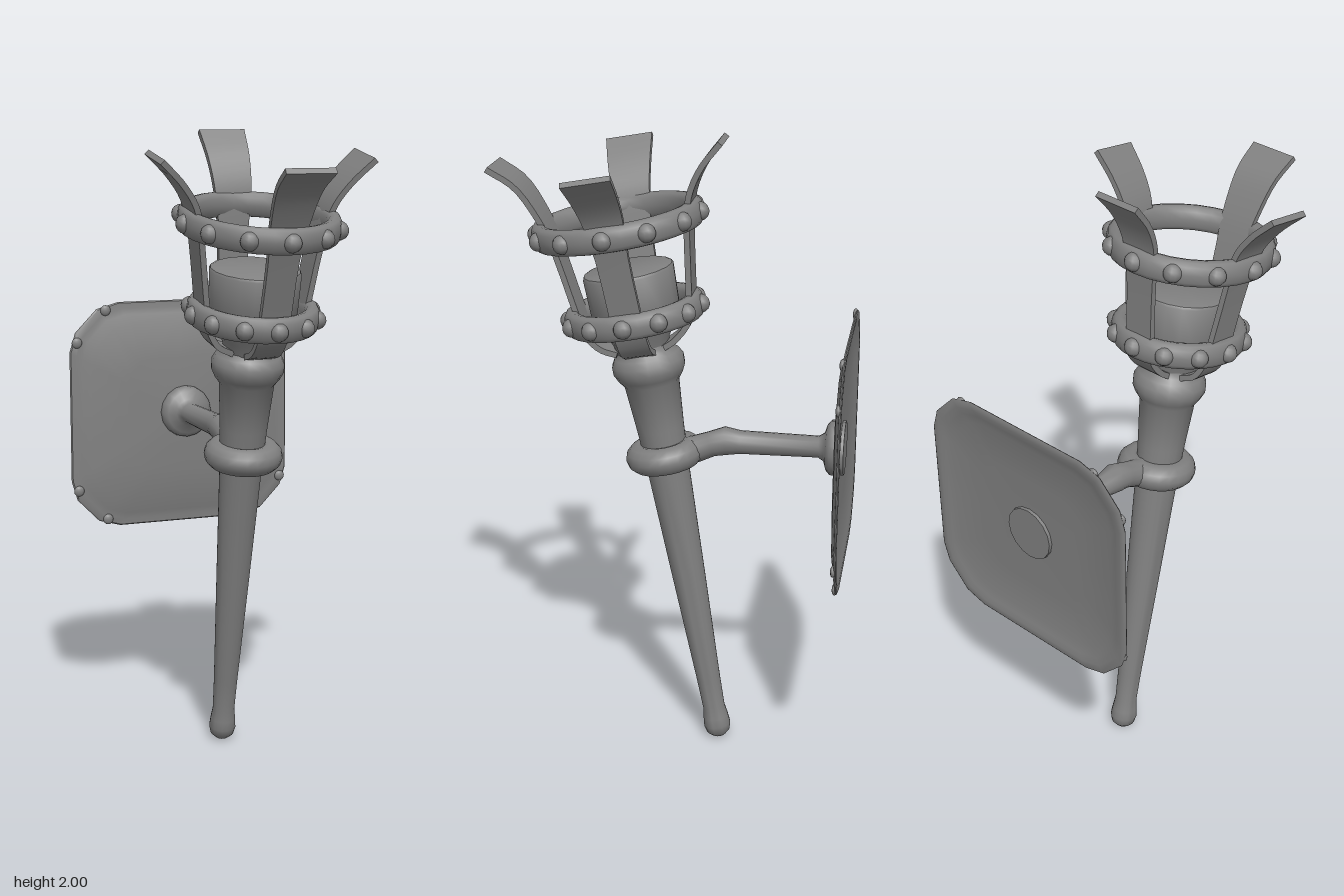
import * as THREE from 'three';
import { toCreasedNormals } from 'three/addons/utils/BufferGeometryUtils.js';

const material = new THREE.MeshStandardMaterial({ color: 0x808080 });
const V = (x, y, z) => new THREE.Vector3(x, y, z);

function add(parent, name, geometry) {
  const mesh = new THREE.Mesh(geometry, material);
  mesh.name = name;
  parent.add(mesh);
  return mesh;
}

function addGroup(parent, name) {
  const group = new THREE.Group();
  group.name = name;
  parent.add(group);
  return group;
}

// Closed solid from equal-length cross-section loops, each counter-clockwise about the direction of travel
function loft(loops, crease) {
  const n = loops[0].length, positions = [], index = [];
  const push = (p) => positions.push(p.x, p.y, p.z) / 3 - 1;
  loops.forEach((loop) => loop.forEach(push));
  for (let k = 0; k < loops.length - 1; k++) {
    for (let i = 0; i < n; i++) {
      const j = (i + 1) % n;
      const a = k * n + i, b = k * n + j, c = a + n, d = b + n;
      index.push(a, b, d, a, d, c);
    }
  }
  [0, loops.length - 1].forEach((k) => {
    const mid = V(0, 0, 0);
    loops[k].forEach((p) => mid.addScaledVector(p, 1 / n));
    const m = push(mid);
    for (let i = 0; i < n; i++) {
      const a = k * n + i, b = k * n + ((i + 1) % n);
      if (k === 0) index.push(m, b, a);
      else index.push(m, a, b);
    }
  });
  const geometry = new THREE.BufferGeometry();
  geometry.setAttribute('position', new THREE.Float32BufferAttribute(positions, 3));
  geometry.setIndex(index);
  return toCreasedNormals(geometry, crease);
}

// Turned part from [radius, height] pairs
function turned(profile, segments, crease = 0.7) {
  const points = profile.map(([r, y]) => new THREE.Vector2(r, y));
  return toCreasedNormals(new THREE.LatheGeometry(points, segments), crease);
}

// Slightly oval basket ring with rounded edges and twelve rivets
function basketRing(parent, name, height, radius) {
  const oval = 1.08, profile = [];
  for (let i = 0; i <= 12; i++) {
    const a = -Math.PI / 2 + (i / 12) * Math.PI * 2;
    const squash = (v) => Math.sign(v) * Math.pow(Math.abs(v), 0.75);
    profile.push([radius + 0.025 * squash(Math.cos(a)), height + 0.04 * squash(Math.sin(a))]);
  }
  add(parent, name, turned(profile, 28, 0.9).scale(1, 1, oval));
  for (let i = 0; i < 12; i++) {
    const a = (i / 12) * Math.PI * 2, r = radius + 0.016;
    const rivet = add(parent, name + 'Rivet', new THREE.SphereGeometry(0.029, 12, 8));
    rivet.position.set(Math.sin(a) * r, height, Math.cos(a) * r * oval);
  }
}

// Flat iron strip rising from the collar and flaring outward at its tip
function basketStrip(bulge, tipRadius, tipHeight) {
  const curve = new THREE.CatmullRomCurve3([
    [0.07, 1.36], [0.12, 1.385], [0.153 + bulge, 1.44], [0.165 + bulge, 1.51], [0.2 + bulge, 1.74],
    [0.222 + bulge, 1.82], [0.27 + bulge, tipHeight - 0.067], [tipRadius, tipHeight],
  ].map(([r, y]) => V(0, y, r)));
  const loops = [];
  for (let i = 0; i <= 24; i++) {
    const p = curve.getPoint(i / 24), t = curve.getTangent(i / 24);
    const normal = V(0, -t.z, t.y).multiplyScalar(0.009);
    const flare = Math.max(0, (p.y - 1.68) / 0.3);
    const w = 0.048 + 0.029 * flare;
    loops.push([[1, 1], [1, -1], [-1, -1], [-1, 1]].map(([sx, sn]) =>
      p.clone().addScaledVector(normal, sn).add(V(sx * w, 0, 0))));
  }
  return loft(loops, 0.6);
}

// Round arm from the holder to the wall flange, from [y, z, radius] stations
function bracketArm() {
  const stations = [
    [1.01, -0.04, 0.045], [1.022, -0.08, 0.043], [1.042, -0.13, 0.04], [1.055, -0.175, 0.045],
    [1.053, -0.22, 0.037], [1.053, -0.465, 0.034], [1.053, -0.482, 0.045], [1.053, -0.49, 0.072],
    [1.053, -0.503, 0.086], [1.053, -0.52, 0.088], [1.053, -0.547, 0.085],
  ];
  const points = stations.map(([y, z]) => V(0.007, y, z));
  return loft(stations.map(([, , r], k) => {
    const t = points[Math.min(k + 1, points.length - 1)].clone().sub(points[Math.max(k - 1, 0)]).normalize();
    const side = V(1, 0, 0), up = t.cross(side);
    return Array.from({ length: 16 }, (_, i) => {
      const a = (i / 16) * Math.PI * 2;
      return points[k].clone().addScaledVector(side, r * Math.cos(a)).addScaledVector(up, r * Math.sin(a));
    });
  }), 0.9);
}

// Shallow domed plate with cut corners and a dished back
function wallPlate() {
  const corner = [[0.39, 0], [0.39, 0.22], [0.37, 0.285], [0.295, 0.362], [0.22, 0.383]];
  const flip = (sx, sy, list) => list.map(([x, y]) => [x * sx, y * sy]);
  const back = [...corner].reverse();
  const outline = [
    ...corner, [0, 0.383], ...flip(-1, 1, back),
    ...flip(-1, -1, corner.slice(1)), [0, -0.383], ...flip(1, -1, back.slice(0, 4)),
  ];
  const layers = [
    [0.1, -0.537], [0.5, -0.538], [0.82, -0.543], [0.89, -0.551], [0.94, -0.556], [0.985, -0.557],
    [1, -0.554], [0.99, -0.549], [0.94, -0.548], [0.89, -0.545], [0.82, -0.536], [0.5, -0.525], [0.1, -0.52],
  ];
  return loft(layers.map(([s, z]) => outline.map(([x, y]) => V(x * s, y * s, z))), 0.8);
}

export function createModel() {
  const model = new THREE.Group();
  model.name = 'wallTorch';

  // Leaning torch, built upright in its own frame
  const torch = addGroup(model, 'torch');
  torch.position.set(0, 0.005, -0.163);
  torch.rotation.x = 0.18;

  add(torch, 'handle', turned([
    [0, 0], [0.022, 0.005], [0.038, 0.02], [0.044, 0.045], [0.041, 0.075], [0.036, 0.11],
    [0.039, 0.22], [0.054, 0.6], [0.068, 0.98], [0.075, 1.1], [0.087, 1.25], [0.102, 1.27],
    [0.114, 1.295], [0.114, 1.32], [0.102, 1.342], [0.086, 1.355], [0.082, 1.375],
  ], 18, 0.9));

  add(torch, 'cup', turned([
    [0.078, 1.35], [0.09, 1.39], [0.128, 1.46], [0.138, 1.48], [0.142, 1.607],
    [0.138, 1.615], [0.128, 1.619], [0, 1.619],
  ], 18, 0.6)).position.z = 0.008;

  // Ring that grips the handle
  const holder = add(torch, 'holderRing', new THREE.TorusGeometry(0.081, 0.044, 12, 24));
  holder.rotation.x = Math.PI / 2;
  holder.position.set(0.006, 1.012, 0);

  // Fire basket
  const basket = addGroup(torch, 'basket');
  basket.position.z = 0.013;
  basketRing(basket, 'lowerRing', 1.478, 0.177);
  basketRing(basket, 'upperRing', 1.76, 0.221);
  add(basket, 'frontStrip', basketStrip(0.006, 0.349, 1.99));
  add(basket, 'backStrip', basketStrip(0.02, 0.363, 1.962)).rotation.y = Math.PI;
  const sideStrip = basketStrip(0, 0.338, 1.957);
  for (const side of [-1, 1]) {
    const strip = add(basket, 'sideStrip', sideStrip);
    strip.rotation.y = (side * Math.PI) / 2;
    strip.position.z = -0.01;
  }

  // Wall mount
  const mount = addGroup(model, 'wallMount');
  add(mount, 'bracketArm', bracketArm());
  add(mount, 'wallPlate', wallPlate()).position.y = 1.048;
  for (const sx of [-1, 1]) {
    for (const sy of [-1, 1]) {
      for (const [x, y] of [[0.366, 0.252], [0.265, 0.357]]) {
        const nail = add(mount, 'plateNail', new THREE.SphereGeometry(0.018, 10, 8));
        nail.position.set(sx * x, 1.048 + sy * y, -0.547);
        nail.scale.z = 0.5;
      }
    }
  }
  return model;
}
